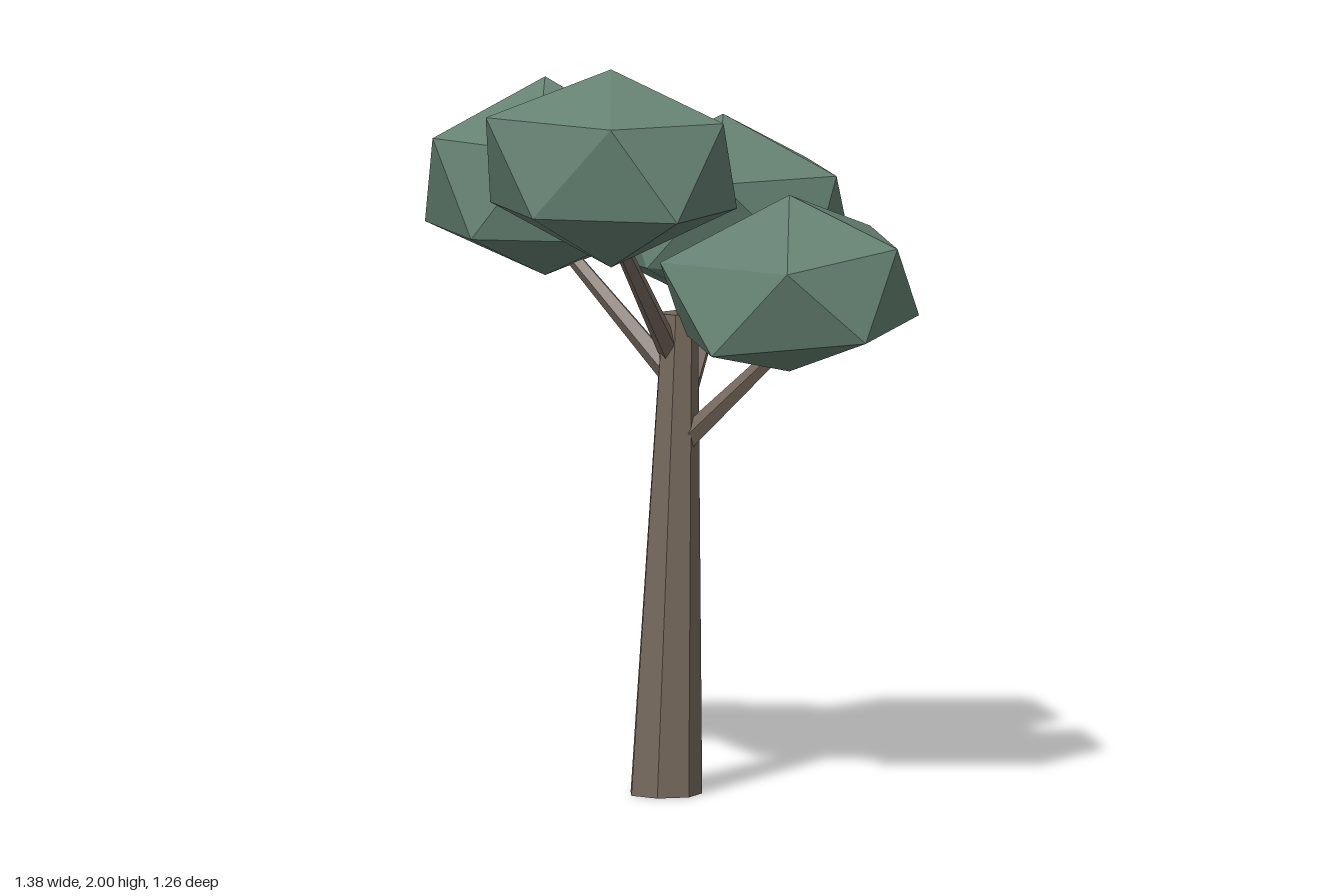
import * as THREE from 'three';

const bark = new THREE.MeshStandardMaterial({ color: 0x776a5e, flatShading: true });
bark.name = 'bark';
const foliage = new THREE.MeshStandardMaterial({ color: 0x648071, flatShading: true });
foliage.name = 'foliage';

// Uneven twenty-sided clump: two five-point rings of [x, z] offsets between two poles
function clump({ name, center, ry, upper, lower, high, low, slope = [0, 0] }) {
  const lift = (ring, y) => ring.map(([x, z]) => [x, y + x * slope[0] + z * slope[1], z]);
  const u = lift(upper, high), l = lift(lower, low);
  const top = [0, ry, 0], bottom = [0, -ry, 0];
  const positions = [];
  for (let i = 0; i < 5; i++) {
    const j = (i + 1) % 5;
    positions.push(
      ...top, ...u[j], ...u[i],
      ...u[i], ...u[j], ...l[i],
      ...l[i], ...u[j], ...l[j],
      ...bottom, ...l[i], ...l[j]);
  }
  const geometry = new THREE.BufferGeometry();
  geometry.setAttribute('position', new THREE.Float32BufferAttribute(positions, 3));
  geometry.computeVertexNormals();
  const mesh = new THREE.Mesh(geometry, foliage);
  mesh.name = name;
  mesh.position.set(...center);
  return mesh;
}

// Tapered five-sided limb between two points
function branch(name, from, to, r0 = 0.032, r1 = 0.02) {
  const a = new THREE.Vector3(...from), b = new THREE.Vector3(...to);
  const dir = b.clone().sub(a);
  const mesh = new THREE.Mesh(new THREE.CylinderGeometry(r1, r0, dir.length(), 5), bark);
  mesh.name = name;
  mesh.position.copy(a).add(b).multiplyScalar(0.5);
  mesh.quaternion.setFromUnitVectors(new THREE.Vector3(0, 1, 0), dir.normalize());
  return mesh;
}

// Seven-sided trunk, sheared so it leans while its ends stay level
function trunk() {
  const height = 1.3;
  const geometry = new THREE.CylinderGeometry(0.05, 0.1, height, 7, 1, false, -Math.PI / 2);
  geometry.translate(0, height / 2, 0);
  const p = geometry.attributes.position;
  for (let i = 0; i < p.count; i++) {
    const t = p.getY(i) / height;
    p.setX(i, p.getX(i) + 0.01 + 0.045 * t);
    p.setZ(i, p.getZ(i) + 0.025 + 0.004 * t);
  }
  geometry.computeVertexNormals();
  const mesh = new THREE.Mesh(geometry, bark);
  mesh.name = 'trunk';
  return mesh;
}

const clumps = [
  {
    name: 'frontFoliage', center: [0.015, 1.733, 0.385], ry: 0.267, high: 0.14, low: -0.112,
    upper: [[0.33, 0], [0.106, 0.237], [-0.296, 0.157], [-0.303, -0.174], [0.107, -0.246]],
    lower: [[0.27, 0.167], [-0.119, 0.245], [-0.356, -0.005], [-0.1, -0.245], [0.295, -0.165]],
  },
  {
    name: 'leftFoliage', center: [0.373, 1.397, 0.02], ry: 0.238, high: 0.088, low: -0.13, slope: [0.07, -0.11],
    upper: [[0.317, 0], [0.12, 0.28], [-0.325, 0.12], [-0.28, -0.17], [0.112, -0.276]],
    lower: [[0.294, 0.155], [-0.1, 0.283], [-0.31, 0], [-0.1, -0.25], [0.304, -0.168]],
  },
  {
    name: 'rightFoliage', center: [-0.343, 1.645, 0.02], ry: 0.268, high: 0.105, low: -0.143,
    upper: [[0.338, 0], [0.1, 0.27], [-0.262, 0.15], [-0.312, -0.15], [0.093, -0.24]],
    lower: [[0.28, 0.17], [-0.095, 0.27], [-0.352, 0], [-0.108, -0.235], [0.28, -0.15]],
  },
  {
    name: 'backFoliage', center: [0.017, 1.52, -0.337], ry: 0.267, high: 0.118, low: -0.125,
    upper: [[0.333, 0], [0.115, 0.269], [-0.265, 0.13], [-0.262, -0.153], [0.109, -0.296]],
    lower: [[0.308, 0.11], [-0.11, 0.25], [-0.369, 0], [-0.114, -0.267], [0.313, -0.153]],
  },
];

export function createModel() {
  const tree = new THREE.Group();
  tree.name = 'tree';
  tree.add(trunk());
  tree.add(branch('frontBranch', [0.035, 1.2, 0.05], [0.018, 1.55, 0.36]));
  tree.add(branch('leftBranch', [0.07, 0.955, 0.03], [0.36, 1.23, 0.025]));
  tree.add(branch('rightBranch', [0.04, 1.12, 0.025], [-0.28, 1.45, 0.02]));
  tree.add(branch('backBranch', [0.045, 1.02, 0.0], [0.02, 1.34, -0.32]));
  clumps.forEach((c) => tree.add(clump(c)));
  return tree;
}
